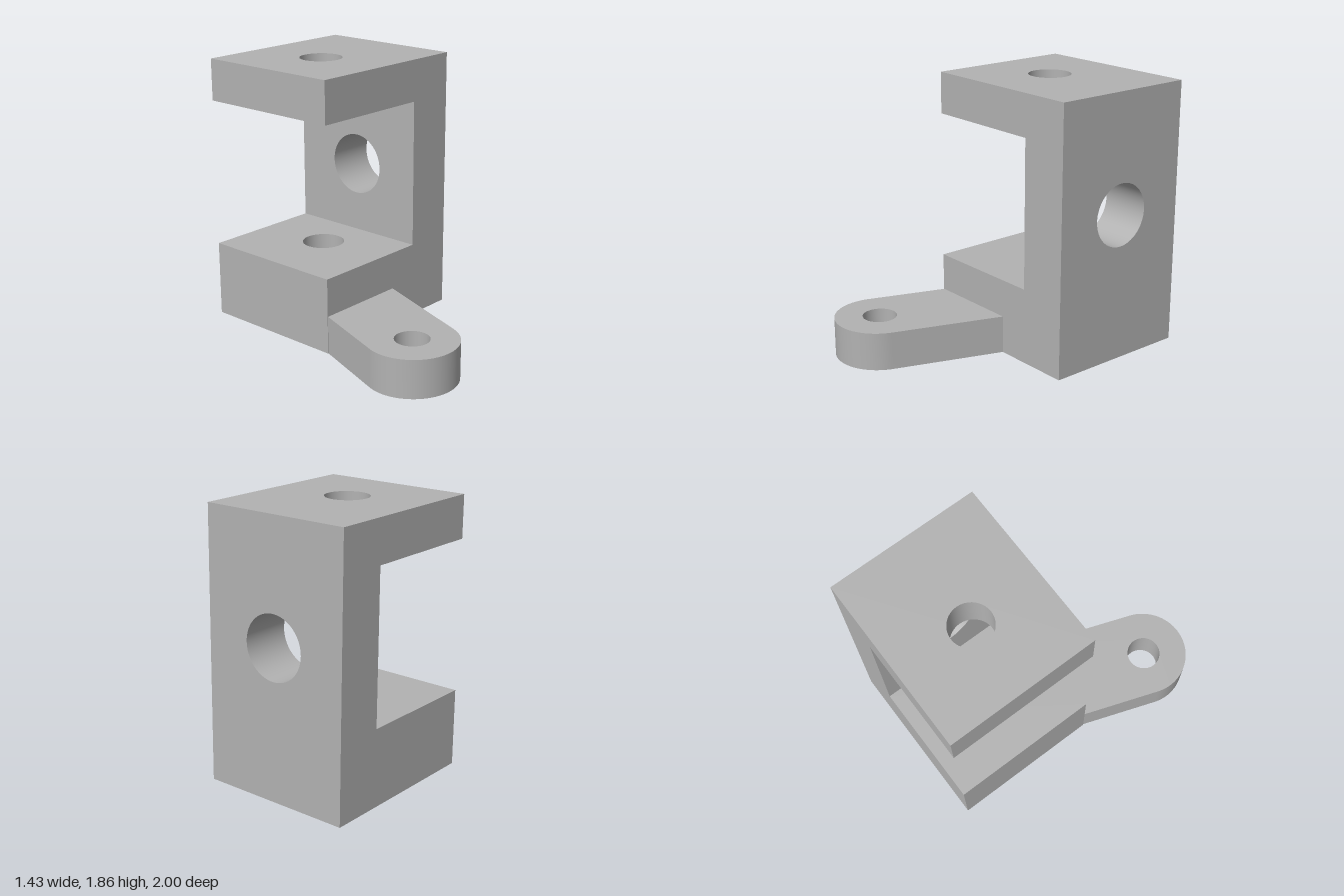
import * as THREE from 'three';
import { mergeGeometries, toCreasedNormals } from 'three/addons/utils/BufferGeometryUtils.js';

// Bracket extents
const X0 = -0.516, X1 = 0.715, XW = 0.363;      // open end, outer wall, inner wall
const Z0 = -1, Z1 = 0.057, ZC = (Z0 + Z1) / 2;  // back, front, middle
const Y1 = 0.53, Y2 = 1.565, Y3 = 1.855;        // lower block top, upper plate underside, top
const HOLE_X = 0.006, HOLE_R = 0.147;
const SIDE_Y = 1.026, SIDE_R = 0.218;
const ARM_H = 0.265;

const Q = Math.PI / 2;

function circle(x, y, r) {
  const path = new THREE.Path();
  path.absarc(x, y, r, 0, Math.PI * 2, true);
  return path;
}

// Flat rectangle from corner to corner, with an optional round hole [x, y, r]
function panel(x0, x1, y0, y1, hole) {
  const s = new THREE.Shape([[x0, y0], [x1, y0], [x1, y1], [x0, y1]].map(p => new THREE.Vector2(...p)));
  if (hole) s.holes.push(circle(...hole));
  return new THREE.ShapeGeometry(s, 32);
}

// Inward-facing wall of a round hole, along y from 0 to h
function bore(r, h) {
  return new THREE.LatheGeometry([new THREE.Vector2(r, h), new THREE.Vector2(r, 0)], 64);
}

export function createModel() {
  const group = new THREE.Group();
  const grey = new THREE.MeshStandardMaterial({ color: 0xb2b2b2 });
  grey.name = 'grey';
  const add = (name, geometry) => {
    const mesh = new THREE.Mesh(geometry, grey);
    mesh.name = name;
    group.add(mesh);
  };

  // C-shaped front and back faces
  const profile = new THREE.Shape([
    [X0, 0], [X1, 0], [X1, Y3], [X0, Y3], [X0, Y2], [XW, Y2], [XW, Y1], [X0, Y1],
  ].map(p => new THREE.Vector2(...p)));
  const front = new THREE.ShapeGeometry(profile).translate(0, 0, Z1);
  const back = new THREE.ShapeGeometry(profile.clone()).scale(1, 1, 1);
  const idx = back.index.array;
  for (let i = 0; i < idx.length; i += 3) [idx[i], idx[i + 1]] = [idx[i + 1], idx[i]];
  back.computeVertexNormals();
  back.translate(0, 0, Z0);

  // Horizontal and upright faces of the bracket
  const d = (Z1 - Z0) / 2;
  const hole = [HOLE_X, 0, HOLE_R];
  const up = (x1, y) => panel(X0, x1, -d, d, hole).rotateX(-Q).translate(0, y, ZC);
  const down = (x1, y) => panel(X0, x1, -d, d, hole).rotateX(Q).translate(0, y, ZC);
  const facing = (sign, x, y0, y1, h) => panel(-d, d, y0, y1, h).rotateY(sign * Q).translate(x, 0, ZC);
  const sideHole = [0, SIDE_Y, SIDE_R];
  add('bracket', mergeGeometries([
    front, back,
    up(X1, Y3), down(XW, Y2), up(XW, Y1), down(X1, 0),
    facing(1, X1, 0, Y3, sideHole),
    facing(-1, XW, Y1, Y2, sideHole),
    facing(-1, X0, 0, Y1),
    facing(-1, X0, Y2, Y3),
  ]));

  // Walls of the three bracket holes
  add('lowerHole', bore(HOLE_R, Y1).translate(HOLE_X, 0, ZC));
  add('upperHole', bore(HOLE_R, Y3 - Y2).translate(HOLE_X, Y2, ZC));
  add('sideHole', bore(SIDE_R, X1 - XW).rotateZ(-Q).translate(XW, SIDE_Y, ZC));

  // Slanted arm with a rounded end and a hole
  const ax = -0.409, az = 0.691, tilt = 0.344;
  const outline = new THREE.Shape();
  outline.moveTo(0.146, -Z1);
  outline.lineTo(-0.512, -Z1);
  outline.absarc(ax, -az, 0.309, -Math.PI - tilt, -tilt, false);
  outline.closePath();
  outline.holes.push(circle(ax, -az, 0.117));
  const arm = new THREE.ExtrudeGeometry(outline, { depth: ARM_H, bevelEnabled: false, curveSegments: 32 });
  add('arm', toCreasedNormals(arm.rotateX(-Q), 0.5));

  return group;
}
